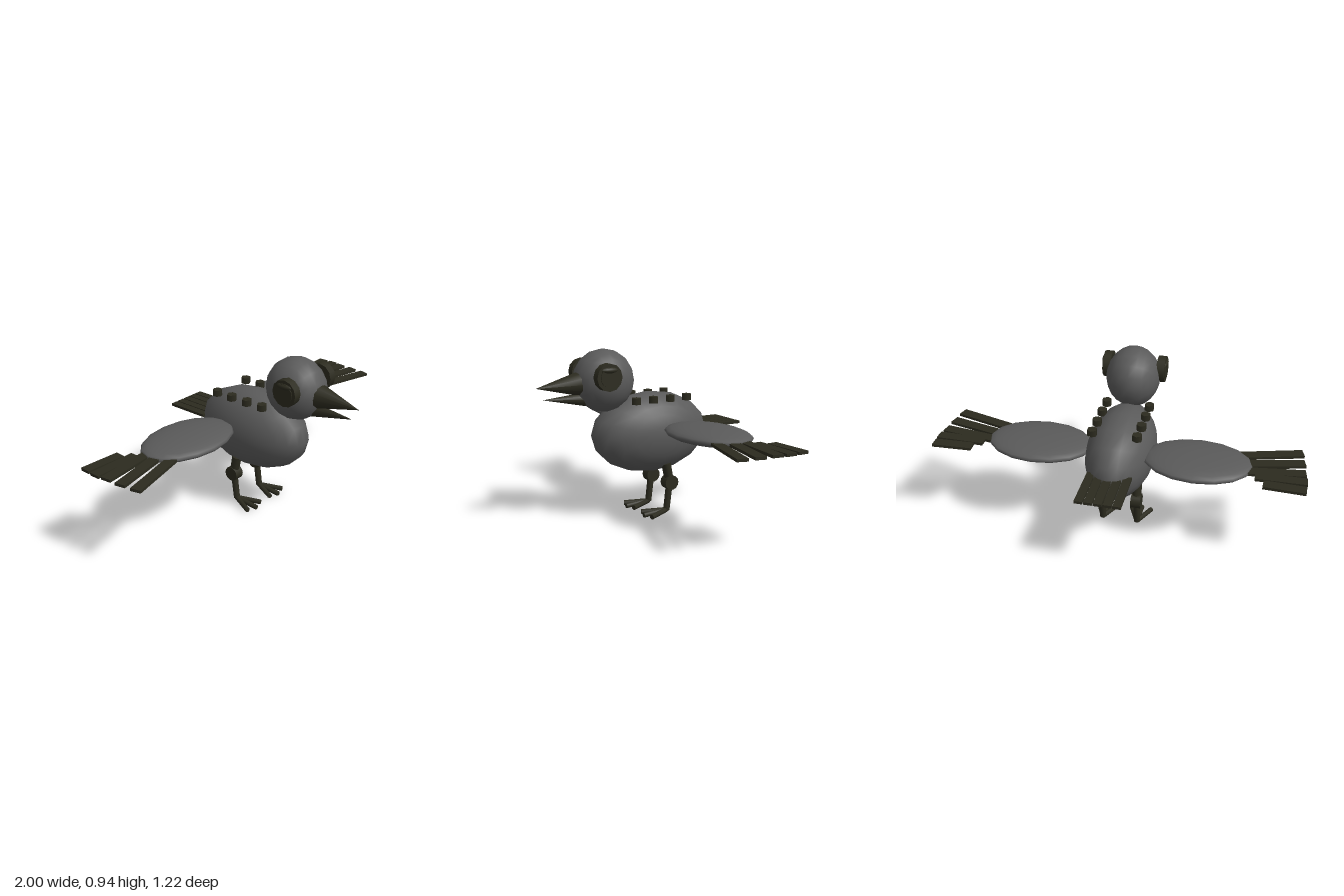
import * as THREE from 'three';

const V = (x, y, z) => new THREE.Vector3(x, y, z);

export function createModel() {
  const grey = new THREE.MeshStandardMaterial({ name: 'grey shell', color: 0x5a5a5a });
  const dark = new THREE.MeshStandardMaterial({ name: 'dark metal', color: 0x2c2b1f });
  const bird = new THREE.Group();
  bird.name = 'mechanicalBird';

  function add(name, geo, mat, x = 0, y = 0, z = 0) {
    const mesh = new THREE.Mesh(geo, mat);
    mesh.name = name;
    mesh.position.set(x, y, z);
    bird.add(mesh);
    return mesh;
  }
  // Ellipsoid; sideways puts the poles on the x axis
  function ellipsoid(rx, ry, rz, sideways = false) {
    const g = new THREE.SphereGeometry(1, 16, 12);
    if (sideways) g.rotateZ(Math.PI / 2);
    return g.scale(rx, ry, rz);
  }
  // Round rod or cone between two points
  function rod(name, a, b, ra, rb, sides = 10) {
    const dir = b.clone().sub(a);
    const m = add(name, new THREE.CylinderGeometry(rb, ra, dir.length(), sides), dark);
    m.position.copy(a).add(b).multiplyScalar(0.5);
    m.quaternion.setFromUnitVectors(V(0, 1, 0), dir.normalize());
    return m;
  }
  // Disc facing sideways
  const disc = (r, depth, sides) => new THREE.CylinderGeometry(r, r, depth, sides).rotateZ(Math.PI / 2);

  add('body', ellipsoid(0.187, 0.227, 0.355, true), grey, 0, 0.469, -0.07);
  add('head', ellipsoid(0.15, 0.17, 0.17, true), grey, 0, 0.775, 0.22);

  // Open beak
  rod('upperBeak', V(0, 0.767, 0.355), V(0, 0.757, 0.608), 0.068, 0, 12);
  rod('lowerBeak', V(0, 0.682, 0.33), V(0, 0.695, 0.572), 0.037, 0, 12);

  // Tail slats
  for (let i = -2; i <= 2; i++)
    add('tailFeather', new THREE.BoxGeometry(0.043, 0.015, 0.255), dark, i * 0.049, 0.488, -0.482);

  // Wing feathers: inner x, inner z, outer x, outer z
  const feathers = [
    [0.78, -0.297, 0.997, -0.306],
    [0.735, -0.236, 1.0, -0.232],
    [0.69, -0.2, 0.99, -0.16],
    [0.645, -0.145, 0.983, -0.066],
    [0.62, -0.07, 0.97, 0.028],
  ];

  for (const s of [1, -1]) {
    const side = s > 0 ? 'left' : 'right';

    // Wing and its fan of flat feathers
    add(side + 'Wing', ellipsoid(0.29, 0.045, 0.195), grey, s * 0.43, 0.52, -0.165);
    for (const [x0, z0, x1, z1] of feathers) {
      const len = Math.hypot(x1 - x0, z1 - z0);
      const f = add(side + 'WingFeather', new THREE.BoxGeometry(len, 0.015, 0.058), dark,
        s * (x0 + x1) / 2, 0.518, (z0 + z1) / 2);
      f.rotation.y = -s * Math.atan2(z1 - z0, x1 - x0);
    }

    // Goggle eye: housing, lens and lid
    add(side + 'EyeHousing', disc(0.073, 0.045, 12), dark, s * 0.152, 0.811, 0.27);
    add(side + 'EyeLens', disc(0.053, 0.008, 16), dark, s * 0.175, 0.811, 0.27);
    add(side + 'EyeLid', ellipsoid(0.025, 0.019, 0.056), dark, s * 0.162, 0.848, 0.27);

    // Hexagonal back bolts
    for (const z of [0.083, -0.022, -0.13, -0.236])
      add(side + 'BackBolt', new THREE.CylinderGeometry(0.027, 0.027, 0.035, 6), dark, s * 0.12, 0.667, z);

    // Jointed leg
    const x = s * 0.1;
    rod(side + 'Thigh', V(x, 0.298, -0.118), V(x, 0.187, -0.142), 0.027, 0.025);
    add(side + 'Knee', disc(0.042, 0.055, 14), dark, x, 0.187, -0.142);
    rod(side + 'Shin', V(x, 0.187, -0.142), V(x, 0.028, -0.123), 0.019, 0.018);

    // Three spread toes
    for (const t of [-1, 0, 1])
      rod(side + 'Toe', V(x, 0.027, -0.123), V(x + t * 0.058, t ? 0.019 : 0.016, t ? 0.008 : 0.025), 0.014, 0.014, 8);
  }
  return bird;
}
